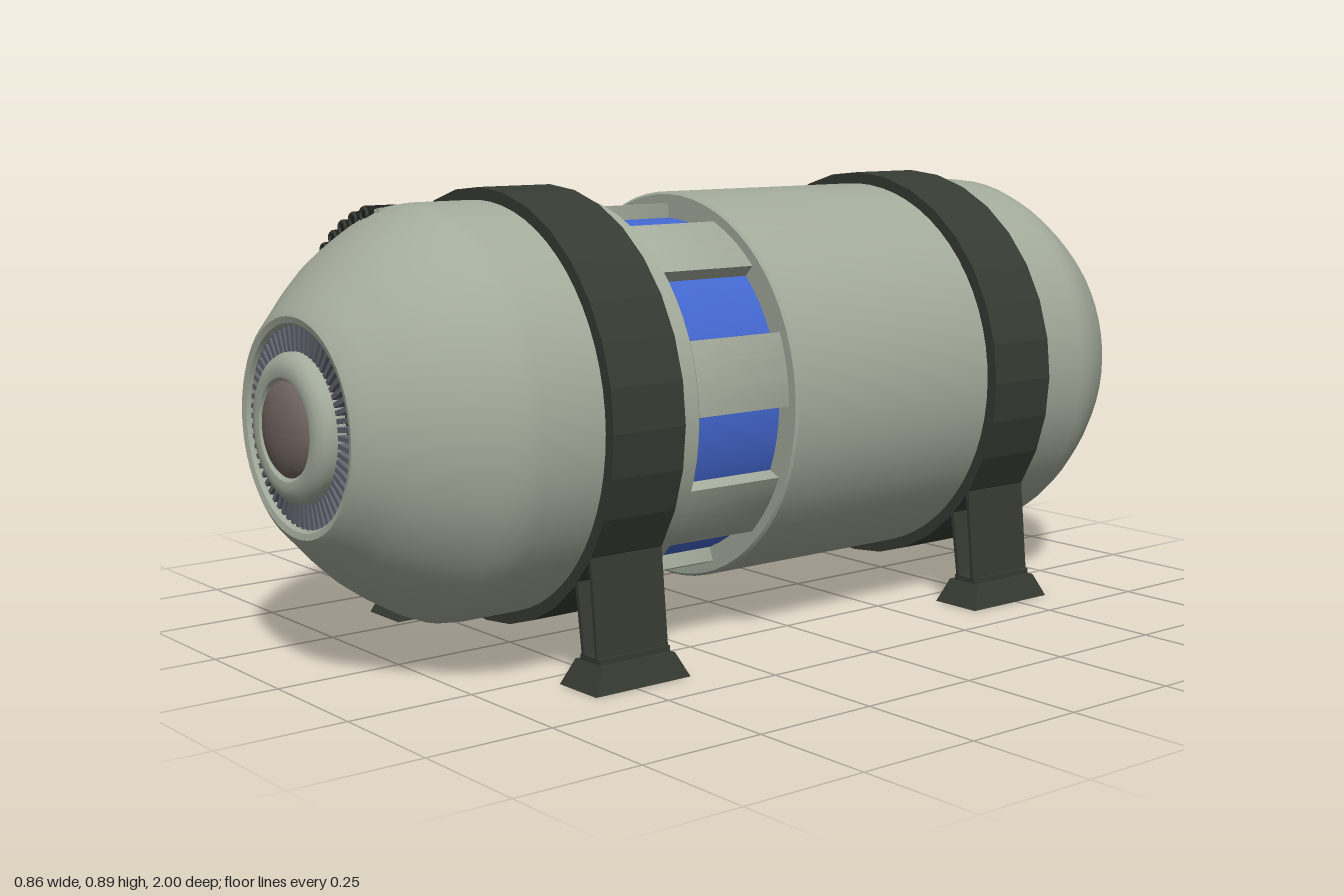
import * as THREE from 'three';
import { toCreasedNormals } from 'three/addons/utils/BufferGeometryUtils.js';

const DEG = Math.PI / 180;
const mat = (color, extra = {}) => new THREE.MeshStandardMaterial({ color, ...extra });
const HULL = mat(0xa3ab9b), DARK = mat(0x363b33, { flatShading: true }), BLUE = mat(0x4468d0);
const BLACK = mat(0x1c1e1c), GRILLE = mat(0x30303a), FIN = mat(0x62626e);
const LENS = mat(0x70645f), HATCH = mat(0xa9c6b6), WHEEL = mat(0x523a38);

function add(parent, name, geometry, material) {
  const mesh = new THREE.Mesh(geometry, material);
  mesh.name = name;
  parent.add(mesh);
  return mesh;
}

// Solid of revolution about z from [radius, z] pairs, z rising along the outside
function turned(points, sides = 64, crease = 0.6) {
  const g = new THREE.LatheGeometry(points.map(([r, z]) => new THREE.Vector2(r, z)), sides);
  g.rotateX(Math.PI / 2);
  return toCreasedNormals(g, crease);
}

// Curved block between two radii and two angles (degrees from +x), running along z
function arcBlock(r0, r1, a0, a1, z0, z1, bevel = 0) {
  const s = new THREE.Shape();
  s.absarc(0, 0, r1 - bevel, a0 * DEG, a1 * DEG, false);
  s.absarc(0, 0, r0 + bevel, a1 * DEG, a0 * DEG, true);
  const g = new THREE.ExtrudeGeometry(s, {
    depth: z1 - z0 - 2 * bevel, bevelEnabled: bevel > 0, bevelSize: bevel,
    bevelThickness: bevel, bevelSegments: 2, curveSegments: 10,
  });
  g.translate(0, 0, z0 + bevel);
  return toCreasedNormals(g, 0.6);
}

// Hull half whose cylinder begins at z = start and ends in a rounded nose
function hullHalf(start) {
  return turned([
    [0.32, start], [0.385, start], [0.39, start + 0.005], [0.39, 0.69], [0.387, 0.72],
    [0.372, 0.755], [0.343, 0.805], [0.312, 0.85], [0.278, 0.888], [0.24, 0.925],
    [0.212, 0.953], [0.2, 0.96], [0.188, 0.957], [0.183, 0.95], [0.183, 0.925],
  ]);
}

// Nose fitting: radial grille, rounded collar and domed lens
function nosePort() {
  const port = new THREE.Group();
  port.name = 'nosePort';
  add(port, 'grilleBack', turned([[0.19, 0.932], [0.1, 0.932]]), GRILLE);
  for (let i = 0; i < 60; i++) {
    const fin = add(port, 'grilleFin', new THREE.BoxGeometry(0.05, 0.009, 0.02), FIN);
    const a = i * 6 * DEG;
    fin.position.set(Math.cos(a) * 0.16, Math.sin(a) * 0.16, 0.94);
    fin.rotation.z = a;
  }
  add(port, 'collar', turned([
    [0.137, 0.925], [0.137, 0.96], [0.132, 0.97], [0.12, 0.979], [0.105, 0.983],
    [0.093, 0.981], [0.087, 0.975],
  ]), HULL);
  add(port, 'lens', turned([
    [0.088, 0.974], [0.08, 0.982], [0.06, 0.991], [0.035, 0.997], [0.001, 1],
  ]), LENS);
  return port;
}

// Row of dark tubes let into the shoulder
function vents(sign) {
  const row = new THREE.Group();
  row.name = 'ventRow';
  const z0 = sign > 0 ? 0.685 : -0.745;
  add(row, 'ventBed', arcBlock(0.34, 0.384, 99, 147, z0, z0 + 0.06, 0.004), HULL);
  for (let i = 0; i < 7; i++) {
    const a = (103.7 + i * 6.5) * DEG, x = Math.cos(a) * 0.377, y = Math.sin(a) * 0.377;
    const tube = add(row, 'ventTube', new THREE.CylinderGeometry(0.016, 0.016, 0.07, 14), BLACK);
    tube.rotation.x = Math.PI / 2;
    tube.position.set(x, y, sign * 0.722);
    const rim = add(row, 'ventRim', new THREE.TorusGeometry(0.012, 0.004, 6, 14), DARK);
    rim.position.set(x, y, sign * 0.757);
  }
  return row;
}

// Leg: two thin plates on a flared foot, for the +x side (coordinates from the axis)
function leg() {
  const g = new THREE.Group();
  g.name = 'leg';
  const plate = (x0, y0, x1, y1) => {
    const p = add(g, 'legPlate', new THREE.BoxGeometry(0.008, Math.hypot(x1 - x0, y1 - y0), 0.16), DARK);
    p.position.set((x0 + x1) / 2, (y0 + y1) / 2, 0);
    p.rotation.z = Math.atan2(x0 - x1, y1 - y0);
  };
  plate(0.357, 0.05, 0.338, 0.245);
  plate(0.317, 0.05, 0.296, 0.195);
  const cap = add(g, 'footCap', new THREE.BoxGeometry(0.058, 0.012, 0.16), DARK);
  cap.position.set(0.337, 0.052, 0);
  // Box widened at the bottom
  const foot = new THREE.BoxGeometry(0.082, 0.047, 0.165);
  const p = foot.attributes.position;
  for (let i = 0; i < p.count; i++) {
    if (p.getY(i) < 0) p.setXYZ(i, p.getX(i) * 1.36, p.getY(i), p.getZ(i) * 1.3);
  }
  foot.computeVertexNormals();
  add(g, 'foot', foot, DARK).position.set(0.337, 0.0235, 0);
  return g;
}

export function createModel() {
  const model = new THREE.Group();
  model.name = 'tankModule';
  const body = new THREE.Group();
  body.name = 'body';
  body.position.set(0.015, 0.472, 0);
  model.add(body);

  // Hull halves and noses
  add(body, 'frontHull', hullHalf(0.348), HULL);
  add(body, 'rearHull', hullHalf(-0.115), HULL).rotation.y = Math.PI;
  body.add(nosePort());
  const rearPort = nosePort();
  rearPort.rotation.y = Math.PI;
  body.add(rearPort);

  // Window band: blue drum behind eight raised ribs
  add(body, 'windowDrum', turned([[0.338, 0.1], [0.338, 0.36]]), BLUE);
  for (let i = 0; i < 8; i++) {
    add(body, 'windowRib', arcBlock(0.32, 0.366, 45 * i + 1.5, 45 * i + 21, 0.1, 0.362, 0.009), HULL);
  }

  // Bands, legs and vents at each end
  for (const sign of [1, -1]) {
    const z = sign * 0.483;
    add(body, 'band', turned([
      [0.38, z - 0.08], [0.414, z - 0.08], [0.414, z + 0.08], [0.38, z + 0.08],
    ], 32, 0.05), DARK);
    body.add(vents(sign));
    for (const side of [0, Math.PI]) {
      const l = leg();
      l.position.set(0.015, 0, z);
      l.rotation.y = side;
      model.add(l);
    }
  }

  // Side hatch with handwheel
  add(body, 'hatch', arcBlock(0.37, 0.398, 145, 215, -0.255, 0, 0.003), HATCH);
  const wheel = new THREE.Group();
  wheel.name = 'handwheel';
  wheel.position.set(-0.438, 0.003, -0.127);
  wheel.rotation.y = Math.PI / 2;
  add(wheel, 'wheelRim', new THREE.TorusGeometry(0.027, 0.005, 8, 24), WHEEL);
  for (let i = 0; i < 2; i++) {
    add(wheel, 'wheelSpoke', new THREE.CylinderGeometry(0.003, 0.003, 0.054, 8), WHEEL).rotation.z = i * Math.PI / 2;
  }
  const shaft = add(wheel, 'wheelShaft', new THREE.CylinderGeometry(0.007, 0.007, 0.05, 12), DARK);
  shaft.rotation.x = Math.PI / 2;
  shaft.position.z = 0.022;
  const boss = add(wheel, 'wheelBoss', new THREE.CylinderGeometry(0.013, 0.018, 0.014, 16), DARK);
  boss.rotation.x = -Math.PI / 2;
  boss.position.z = 0.036;
  body.add(wheel);
  return model;
}
